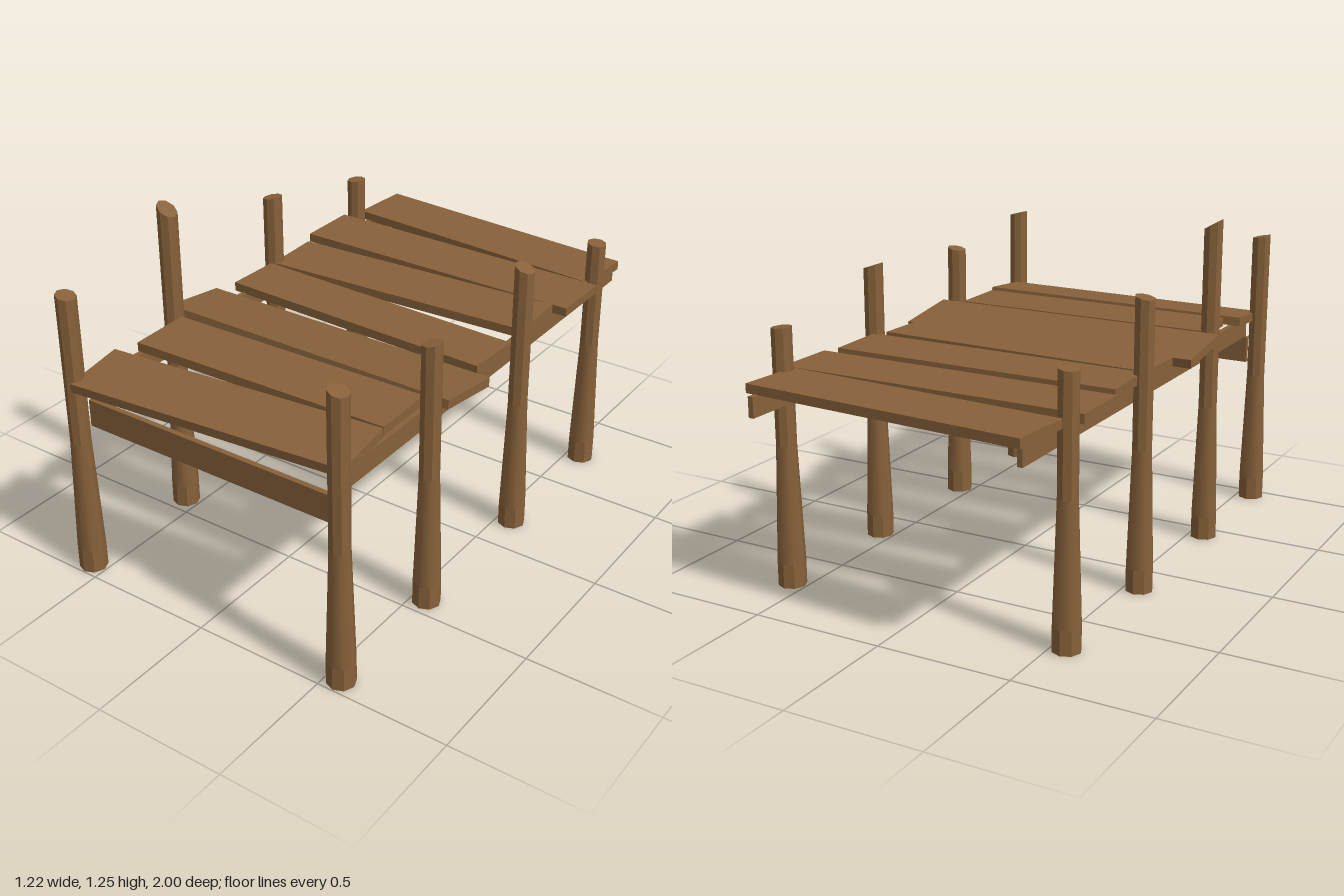
import * as THREE from 'three';

const wood = new THREE.MeshStandardMaterial({ color: 0x87613a });
wood.name = 'weathered wood';

function box(name, w, h, d, x, y, z) {
  const mesh = new THREE.Mesh(new THREE.BoxGeometry(w, h, d), wood);
  mesh.name = name;
  mesh.position.set(x, y, z);
  return mesh;
}

// Eight-sided pile section; slant tilts the top cut along x
function pileSection(name, rTop, rBottom, y0, y1, faceted, open, slant = 0) {
  let geo = new THREE.CylinderGeometry(rTop, rBottom, y1 - y0, 8, 1, open);
  geo.translate(0, (y0 + y1) / 2, 0);
  const p = geo.attributes.position;
  for (let i = 0; i < p.count; i++) {
    if (p.getY(i) > y1 - 0.001) p.setY(i, y1 + slant * p.getX(i));
  }
  if (faceted) {
    geo = geo.toNonIndexed();
    geo.computeVertexNormals();
  }
  const mesh = new THREE.Mesh(geo, wood);
  mesh.name = name;
  return mesh;
}

function pile(x, z, height, slant) {
  const g = new THREE.Group();
  g.name = 'pile';
  g.add(pileSection('pileFoot', 0.0515, 0.0515, 0, 0.09, true, false));
  g.add(pileSection('pileTaper', 0.037, 0.0515, 0.09, 0.53, false, true));
  g.add(pileSection('pileShaft', 0.037, 0.037, 0.53, height, true, false, slant));
  g.position.set(x, 0, z);
  return g;
}

export function createModel() {
  const dock = new THREE.Group();
  dock.name = 'dock';

  // Piles: z, then height and top slant for the -x and +x sides
  const piles = [
    [0.945, 1.1, -0.2, 1.104, -0.25],
    [0.43, 1.228, -0.6, 1.035, 0.2],
    [-0.165, 1.07, 0.2, 1.07, -0.35],
    [-0.725, 0.955, 0.1, 0.955, -0.1],
  ];
  for (const [z, hR, sR, hL, sL] of piles) {
    dock.add(pile(-0.557, z, hR, sR), pile(0.557, z, hL, sL));
  }

  // Long bearers and the front cross beam
  for (const s of [-1, 1]) {
    dock.add(box('bearer', 0.02, 0.075, 1.86, s * 0.514, 0.7325, -0.03));
  }
  dock.add(box('crossBeam', 1.06, 0.103, 0.02, 0, 0.64, 0.904));

  // Crooked deck planks: length, width, x, y, z, pitch, yaw, roll
  const planks = [
    [1.092, 0.241, -0.003, 0.79, 0.827, 0.1, 0.066, 0.014],
    [1.035, 0.24, 0.004, 0.802, 0.545, 0, 0.019, 0.004],
    [1.21, 0.267, 0, 0.787, 0.268, -0.14, 0, 0],
    [1.1, 0.215, -0.004, 0.784, -0.01, 0, -0.032, 0],
    [1.096, 0.24, -0.003, 0.79, -0.285, 0, 0.037, 0.012],
    [1.18, 0.24, -0.002, 0.785, -0.565, 0, 0, 0],
    [1.1, 0.24, 0.003, 0.785, -0.843, 0, -0.068, 0],
  ];
  for (const [len, width, x, y, z, rx, ry, rz] of planks) {
    const plank = box('deckPlank', len, 0.034, width, x, y, z);
    plank.rotation.set(rx, ry, rz);
    dock.add(plank);
  }
  return dock;
}
